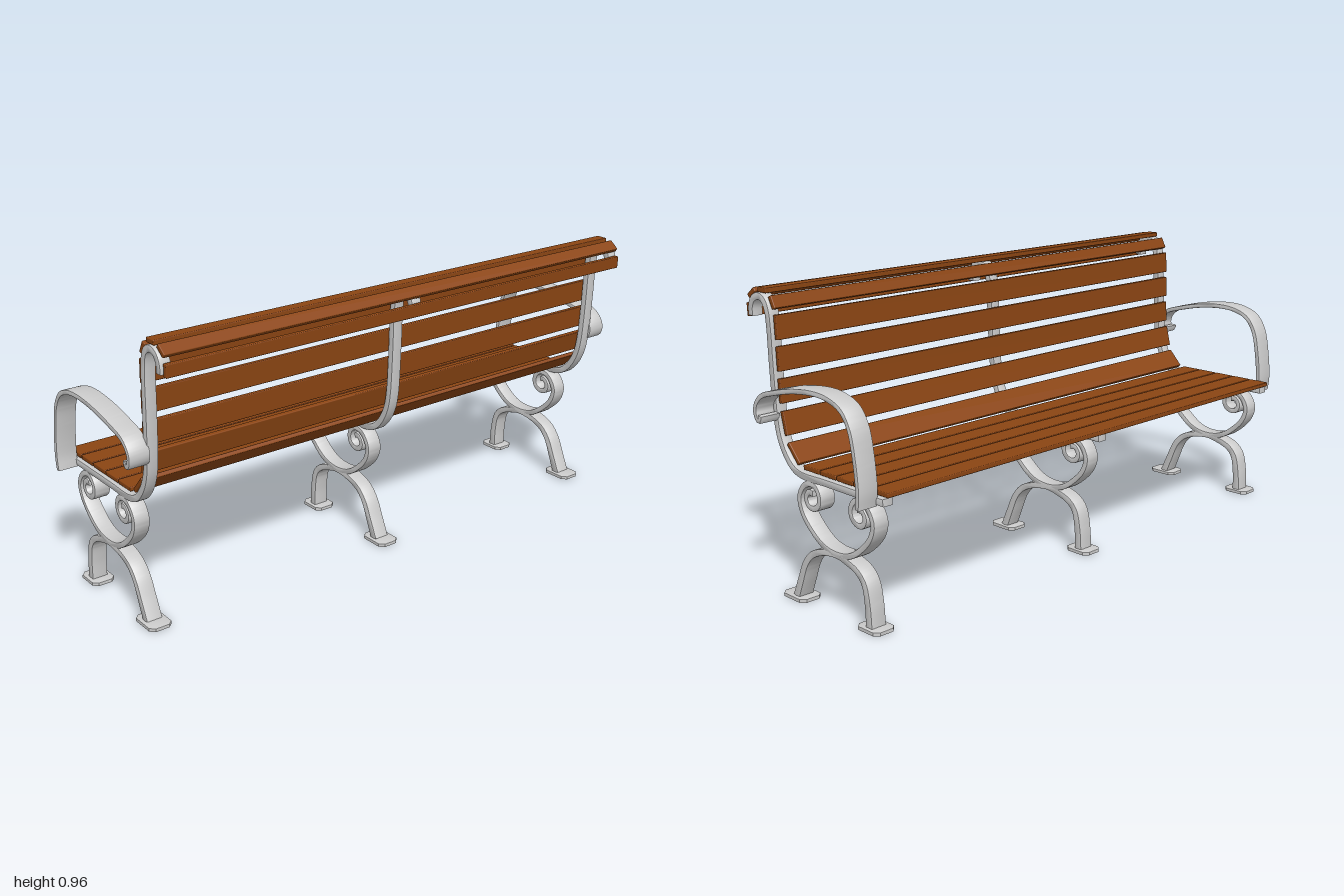
import * as THREE from 'three';
import { toCreasedNormals } from 'three/addons/utils/BufferGeometryUtils.js';
import { RoundedBoxGeometry } from 'three/addons/geometries/RoundedBoxGeometry.js';

const iron = new THREE.MeshStandardMaterial({ color: 0xcccccc });
const wood = new THREE.MeshStandardMaterial({ color: 0x8b4513 });
const MID = -0.088; // mirror line of the scrolls

// Extrude a side-view outline along z, centred, with softened edges
function extrudeCentred(shape, depth, bevel) {
  const geo = new THREE.ExtrudeGeometry(shape, {
    depth: depth - 2 * bevel, bevelEnabled: true, bevelThickness: bevel,
    bevelSize: bevel, bevelOffset: -bevel, bevelSegments: 2, curveSegments: 6,
  });
  geo.translate(0, 0, -depth / 2 + bevel);
  return toCreasedNormals(geo, 0.6);
}

// Flat bar bent along a side-view path; width(t) is its thickness
function bentBar(points, width, depth, n) {
  const curve = new THREE.CatmullRomCurve3(points.map(([x, y]) => new THREE.Vector3(x, y, 0)));
  const upper = [], lower = [];
  for (let i = 0; i <= n; i++) {
    const t = i / n, p = curve.getPointAt(t), d = curve.getTangentAt(t), h = width(t) / 2;
    upper.push(new THREE.Vector2(p.x - d.y * h, p.y + d.x * h));
    lower.push(new THREE.Vector2(p.x + d.y * h, p.y - d.x * h));
  }
  return extrudeCentred(new THREE.Shape([...lower, ...upper.reverse()]), depth, 0.003);
}

function add(parent, name, geo, mat, x = 0, y = 0, z = 0) {
  const mesh = new THREE.Mesh(geo, mat);
  mesh.name = name;
  mesh.position.set(x, y, z);
  parent.add(mesh);
  return mesh;
}

// Foot plate with clipped corners, lying flat
function footPlate(w, d, h) {
  const a = w / 2, b = d / 2, c = 0.016;
  const shape = new THREE.Shape([
    [-a + c, -b], [a - c, -b], [a, -b + c], [a, b - c],
    [a - c, b], [-a + c, b], [-a, b - c], [-a, -b + c],
  ].map(([x, y]) => new THREE.Vector2(x, y)));
  return extrudeCentred(shape, h, 0.002).rotateX(-Math.PI / 2);
}

export function createModel() {
  const bench = new THREE.Group();
  bench.name = 'bench';

  // Seat rail sweeping up into the back and over the top
  const railGeo = bentBar([
    [-0.313, 0.415], [-0.2, 0.415], [-0.05, 0.415], [0.075, 0.415], [0.115, 0.43],
    [0.153, 0.47], [0.177, 0.52], [0.188, 0.575], [0.194, 0.65], [0.199, 0.75],
    [0.203, 0.85], [0.21, 0.9], [0.225, 0.928], [0.25, 0.938], [0.276, 0.929],
    [0.291, 0.905], [0.293, 0.873],
  ], () => 0.023, 0.038, 90);

  // Upper scrolls: left half from its inner curl to the middle, then mirrored
  const half = [
    [-0.193, 0.367], [-0.212, 0.369], [-0.228, 0.347], [-0.217, 0.325], [-0.193, 0.32],
    [-0.168, 0.335], [-0.163, 0.362], [-0.178, 0.388], [-0.207, 0.396], [-0.24, 0.38],
    [-0.262, 0.34], [-0.25, 0.295], [-0.205, 0.247], [-0.15, 0.213],
  ];
  const mirrored = half.map(([x, y]) => [2 * MID - x, y]).reverse();
  const scrollGeo = bentBar([...half, [MID, 0.203], ...mirrored], () => 0.019, 0.054, 150);

  // Lower arch, thicker toward the feet
  const archGeo = bentBar([
    [-0.232, 0.008], [-0.228, 0.08], [-0.214, 0.143], [-0.185, 0.173], [-0.13, 0.192],
    [MID, 0.199], [-0.02, 0.191], [0.035, 0.168], [0.068, 0.133], [0.098, 0.068], [0.124, 0.008],
  ], (t) => 0.019 + 0.01 * Math.abs(2 * t - 1), 0.054, 60);

  const frontFoot = footPlate(0.1, 0.08, 0.012);
  const rearFoot = footPlate(0.112, 0.08, 0.012);

  // Three cast supports
  for (const s of [-1, 0, 1]) {
    const support = new THREE.Group();
    support.name = 'support';
    support.position.z = s * 0.909;
    add(support, 'seatAndBackRail', railGeo, iron, 0, 0, s * 0.008);
    add(support, 'legScrolls', scrollGeo, iron);
    add(support, 'legArch', archGeo, iron);
    add(support, 'frontFoot', frontFoot, iron, -0.232, 0.006);
    add(support, 'rearFoot', rearFoot, iron, 0.129, 0.006);
    bench.add(support);
  }

  // Armrests curling round the back rail
  const armGeo = bentBar([
    [-0.274, 0.4], [-0.279, 0.45], [-0.269, 0.55], [-0.25, 0.63], [-0.215, 0.678],
    [-0.16, 0.7], [-0.1, 0.706], [0, 0.697], [0.1, 0.675], [0.17, 0.652], [0.198, 0.622],
    [0.203, 0.597], [0.193, 0.575], [0.181, 0.574], [0.178, 0.59],
  ], () => 0.016, 0.07, 90);
  for (const s of [-1, 1]) add(bench, s > 0 ? 'leftArmrest' : 'rightArmrest', armGeo, iron, 0, 0, s * 0.965);

  // Wooden slats: x, y, tilt in degrees
  const wide = new RoundedBoxGeometry(0.076, 0.015, 1.855, 2, 0.003);
  const narrow = new RoundedBoxGeometry(0.042, 0.016, 1.855, 2, 0.003);
  for (let i = 0; i < 5; i++) add(bench, 'seatSlat', wide, wood, -0.288 + i * 0.0795, 0.438);
  const slat = (name, geo) => ([x, y, deg]) => {
    add(bench, name, geo, wood, x, y).rotation.z = THREE.MathUtils.degToRad(deg);
  };
  [[0.117, 0.47, 47], [0.158, 0.557, 76], [0.172, 0.655, 87], [0.175, 0.754, 88], [0.178, 0.85, 87]]
    .forEach(slat('backSlat', wide));
  [[0.193, 0.924, 63], [0.241, 0.956, 0], [0.296, 0.942, -38], [0.315, 0.888, 87]]
    .forEach(slat('topSlat', narrow));

  return bench;
}
